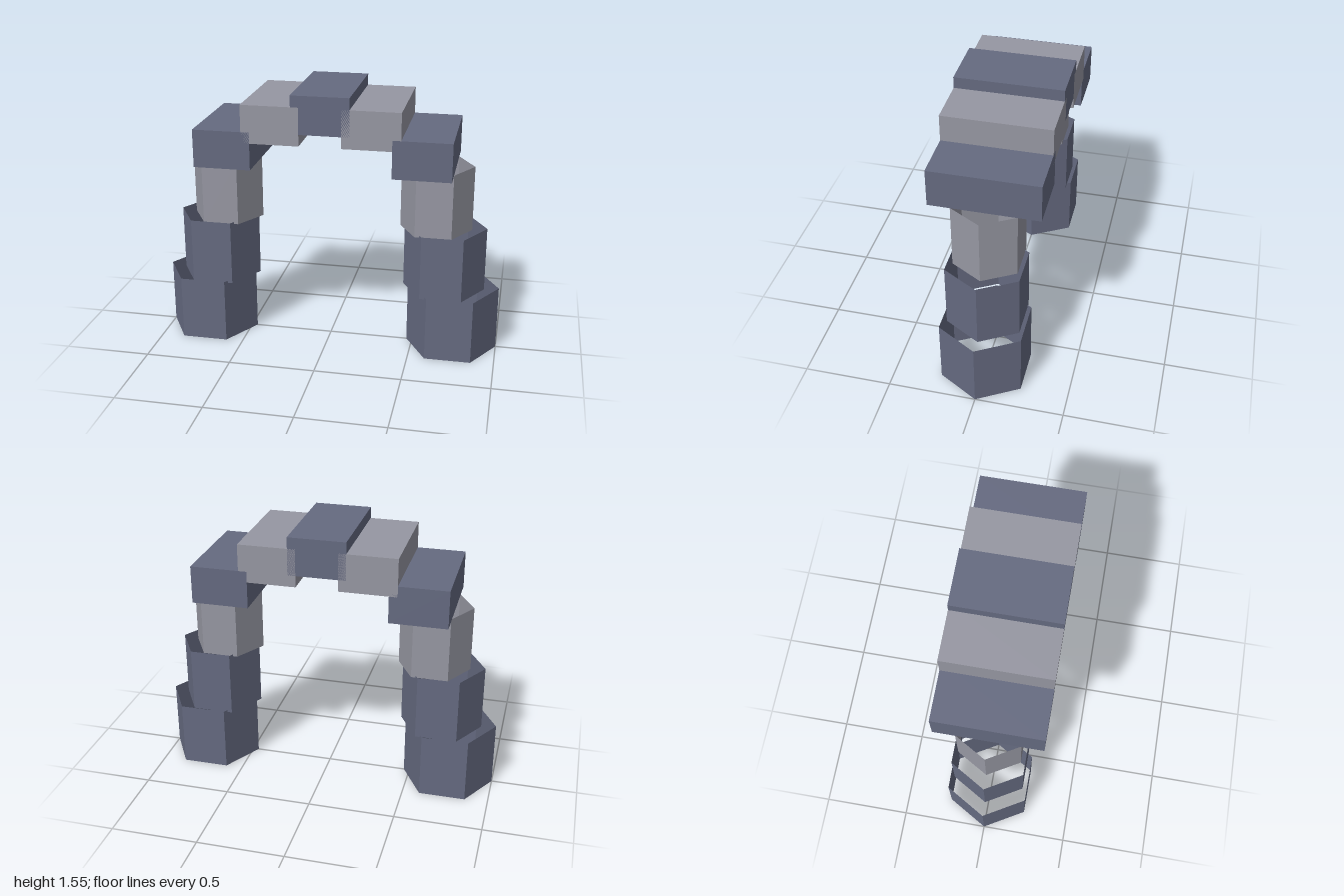
import * as THREE from 'three';

export function createModel() {
  const group = new THREE.Group();
  group.name = 'archway';

  const slate = new THREE.MeshStandardMaterial({ color: 0x656a80, flatShading: true, side: THREE.DoubleSide });
  slate.name = 'slate blue stone';
  const grey = new THREE.MeshStandardMaterial({ color: 0x9697a2, flatShading: true, side: THREE.DoubleSide });
  grey.name = 'pale grey stone';

  function add(name, geometry, material, x, y) {
    const mesh = new THREE.Mesh(geometry, material);
    mesh.name = name;
    mesh.position.set(x, y, 0);
    group.add(mesh);
  }

  // Pillars: three open hexagonal drums each, narrowing and leaning inward
  const drumHeight = 0.38;
  const drums = [
    { x: 0.733, bottom: 0, radius: 0.267, material: slate },
    { x: 0.676, bottom: 0.367, radius: 0.238, material: slate },
    { x: 0.62, bottom: 0.735, radius: 0.208, material: grey },
  ];

  // Arch: overlapping slabs stepping up to the keystone
  const slabs = [
    { x: 0.561, y: 1.221, material: slate },
    { x: 0.282, y: 1.376, material: grey },
  ];
  const slab = new THREE.BoxGeometry(0.327, 0.218, 0.61);

  for (const side of [1, -1]) {
    const label = side > 0 ? 'left' : 'right';
    drums.forEach((d, i) => {
      // Corners point along x, flat walls face front and back
      const drum = new THREE.CylinderGeometry(d.radius, d.radius, drumHeight, 6, 1, true, Math.PI / 2);
      add(`${label}PillarDrum${i + 1}`, drum, d.material, side * d.x, d.bottom + drumHeight / 2);
    });
    slabs.forEach((s, i) => add(`${label}ArchSlab${i + 1}`, slab, s.material, side * s.x - 0.002, s.y));
  }

  add('keystone', slab, slate, -0.002, 1.442);
  return group;
}
